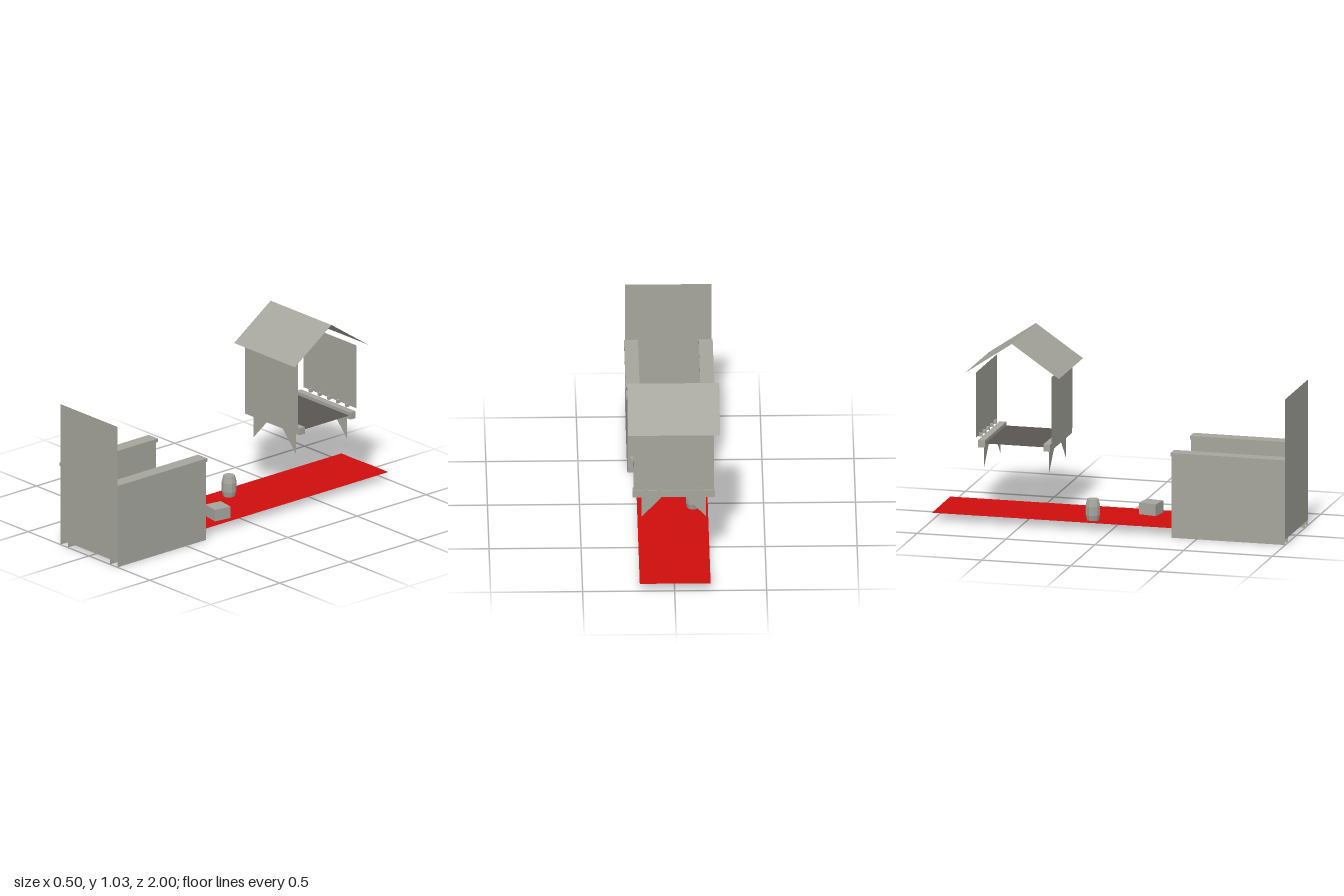
import * as THREE from 'three';

export function createModel() {
  const root = new THREE.Group();
  const mat = (name, color) => {
    const m = new THREE.MeshStandardMaterial({ color, side: THREE.DoubleSide, flatShading: true });
    m.name = name;
    return m;
  };
  const grey = mat('stone grey', 0xa6a69e);
  const dark = mat('dark grey', 0x595553);
  const red = mat('carpet red', 0xd00e0e);

  const add = (name, geo, material, x = 0, y = 0, z = 0, parent = root) => {
    const m = new THREE.Mesh(geo, material);
    m.name = name;
    m.position.set(x, y, z);
    parent.add(m);
    return m;
  };
  const box = (w, h, d) => new THREE.BoxGeometry(w, h, d);

  // Long carpet with gentle ripples
  const carpetGeo = new THREE.PlaneGeometry(0.385, 2, 6, 16).rotateX(-Math.PI / 2);
  const p = carpetGeo.attributes.position;
  for (let i = 0; i < p.count; i++) {
    p.setY(i, 0.003 * Math.sin(p.getX(i) * 16) * Math.cos(p.getZ(i) * 5));
  }
  carpetGeo.computeVertexNormals();
  add('carpet', carpetGeo, red, -0.003, 0.044, 0);

  // Tall front panel
  add('frontPanel', new THREE.PlaneGeometry(0.47, 0.785), grey, 0, 0.4225, 1);

  // Hollow side walls (outer, inner and rear faces only) with caps
  for (const s of [-1, 1]) {
    const geo = box(0.06, 0.455, 0.64);
    const idx = Array.from(geo.index.array);
    geo.setIndex([...idx.slice(0, 12), ...idx.slice(30, 36)]);
    geo.clearGroups();
    add('sideWall', geo, grey, s * 0.204, 0.2275, 0.68);
    add('wallCap', box(0.076, 0.02, 0.645), grey, s * 0.203, 0.465, 0.6775);
  }

  // Raised hut
  const hut = new THREE.Group();
  hut.name = 'hut';
  root.add(hut);
  add('hutFrontWall', new THREE.PlaneGeometry(0.436, 0.385), grey, 0, 0.6575, -0.32, hut);
  add('hutBackWall', new THREE.PlaneGeometry(0.436, 0.365), grey, 0, 0.6675, -0.745, hut);
  add('hutFloor', new THREE.PlaneGeometry(0.43, 0.34).rotateX(-Math.PI / 2), dark, 0, 0.455, -0.53, hut);
  const slope = Math.atan2(0.18, 0.265);
  for (const s of [-1, 1]) {
    const roof = new THREE.PlaneGeometry(0.5, Math.hypot(0.18, 0.265)).rotateX(-Math.PI / 2);
    add('roofSlope', roof, grey, 0, 0.94, -0.535 + s * 0.1325, hut).rotation.x = s * slope;
  }
  // Beams with triangular braces below
  for (const z of [-0.345, -0.713]) {
    add('floorBeam', box(0.45, 0.04, 0.038), grey, 0, 0.454, z, hut);
    for (const s of [-1, 1]) {
      const tri = new THREE.Shape([[0.055, 0.435], [0.175, 0.435], [0.175, 0.305]]
        .map(([x, y]) => new THREE.Vector2(s * x, y)));
      add('brace', new THREE.ShapeGeometry(tri), grey, 0, 0, z, hut);
    }
  }
  // Small pegs along the back wall
  for (let i = -2; i <= 2; i++) {
    add('peg', box(0.014, 0.02, 0.02), grey, i * 0.075, 0.488, -0.738, hut);
  }

  // Crate
  add('crate', box(0.1, 0.072, 0.1), grey, 0.1, 0.075, 0.155).rotation.y = -0.17;

  // Barrels: one standing, one lying
  const barrelGeo = new THREE.LatheGeometry(
    [[0, -0.062], [0.032, -0.062], [0.041, -0.025], [0.041, 0.025], [0.032, 0.062], [0, 0.062]]
      .map(([x, y]) => new THREE.Vector2(x, y)), 10);
  add('standingBarrel', barrelGeo, grey, -0.115, 0.098, -0.115);
  const lying = add('lyingBarrel', barrelGeo, grey, 0.103, 0.088, 0.62);
  lying.rotation.set(Math.PI / 2, 0, -0.28);

  // Dark tapered logs half sunk in the carpet: x, z, length, radius, heading
  const logs = [
    [0.0, 0.757, 0.27, 0.027, 1.33],
    [-0.11, 0.778, 0.1, 0.034, 1.1],
    [-0.1, 0.87, 0.105, 0.036, 0.15],
  ];
  for (const [x, z, len, r, a] of logs) {
    const profile = [[0, -0.5], [0.55, -0.5], [1, -0.25], [1, 0.25], [0.55, 0.5], [0, 0.5]]
      .map(([u, v]) => new THREE.Vector2(u * r, v * len));
    const geo = new THREE.LatheGeometry(profile, 6).rotateX(Math.PI / 2).rotateY(a);
    add('log', geo, dark, x, 0.055, z);
  }
  return root;
}
